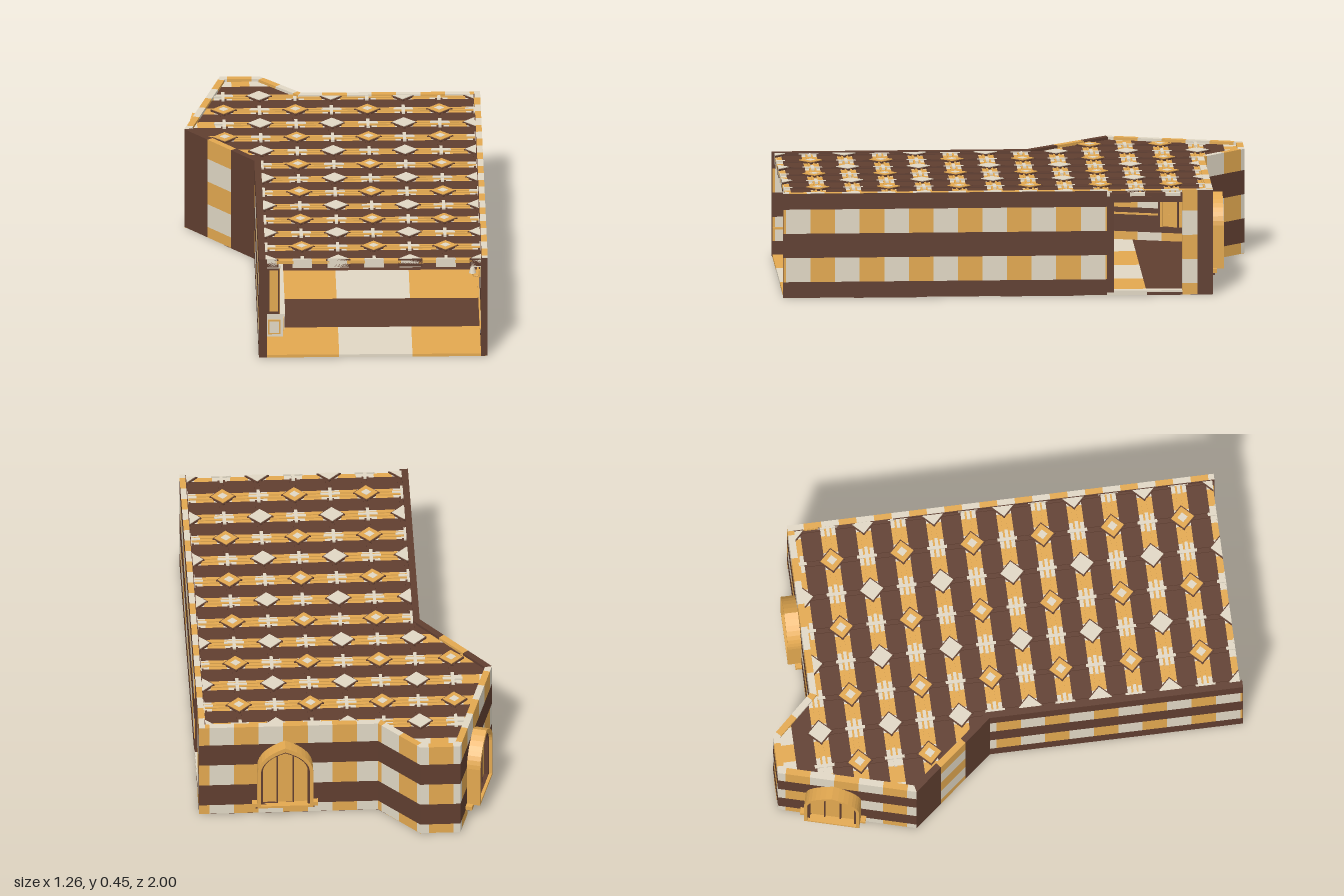
import * as THREE from 'three';
import { mergeGeometries } from 'three/addons/utils/BufferGeometryUtils.js';

const mats = {};
for (const [name, hex] of Object.entries({ brown: 0x603e30, gold: 0xe2a850, cream: 0xe0d7c4 })) {
  mats[name] = new THREE.MeshStandardMaterial({ color: hex });
  mats[name].name = name;
}

// Collects geometry by colour and returns a named group with one mesh per colour
function part(name, fill) {
  const bins = { brown: [], gold: [], cream: [] };
  const add = (color, geo) => bins[color].push(geo.index ? geo.toNonIndexed() : geo);
  const box = (color, x0, x1, y0, y1, z0, z1) => add(color,
    new THREE.BoxGeometry(x1 - x0, y1 - y0, z1 - z0).translate((x0 + x1) / 2, (y0 + y1) / 2, (z0 + z1) / 2));
  fill(add, box);
  const group = new THREE.Group();
  group.name = name;
  for (const color in bins) {
    if (!bins[color].length) continue;
    const mesh = new THREE.Mesh(mergeGeometries(bins[color]), mats[color]);
    mesh.name = name + ' ' + color;
    group.add(mesh);
  }
  return group;
}

// Splits a range into numbered intervals
function cells(min, max, size, phase) {
  const out = [];
  for (let k = Math.floor((min - phase) / size); phase + k * size < max - 1e-6; k++) {
    const a = Math.max(min, phase + k * size), b = Math.min(max, phase + (k + 1) * size);
    if (b - a > 1e-5) out.push([a, b, k]);
  }
  return out;
}
const even = (k) => k % 2 === 0;

// Convex pieces of the floor plan, as x,z points
const RIGHT = 0.628;
const PLAN = [
  [[-0.34, -0.82], [RIGHT, -0.82], [RIGHT, 1], [-0.34, 1]],
  [[-0.34, -0.08], [-0.63, -0.43], [-0.47, -1], [-0.34, -1]],
  [[-0.34, -1], [-0.3, -1], [-0.13, -0.82], [-0.34, -0.82]],
];
// Trims a polygon to a rectangle
function clip(poly, x0, x1, z0, z1) {
  for (const [axis, bound, sign] of [[0, x1, 1], [0, x0, -1], [1, z1, 1], [1, z0, -1]]) {
    const out = [];
    poly.forEach((p, i) => {
      const q = poly[(i + 1) % poly.length];
      const dp = sign * (bound - p[axis]), dq = sign * (bound - q[axis]);
      if (dp >= 0) out.push(p);
      if (dp * dq < 0) out.push([0, 1].map((c) => p[c] + (q[c] - p[c]) * dp / (dp - dq)));
    });
    poly = out;
  }
  return poly;
}
function plate(add, color, poly, y, h) {
  if (poly.length < 3) return;
  const shape = new THREE.Shape(poly.map(([x, z]) => new THREE.Vector2(x, -z)));
  add(color, new THREE.ExtrudeGeometry(shape, { depth: h, bevelEnabled: false }).rotateX(-Math.PI / 2).translate(0, y, 0));
}
// Flat tile: a rectangle trimmed to the plan
function tile(add, color, scale, x0, x1, z0, z1, y, h) {
  for (const piece of PLAN) plate(add, color, clip(piece.map(([x, z]) => [x * scale, z * scale]), x0, x1, z0, z1), y, h);
}

// Places a group so local x runs along the wall and local z points indoors
function along(group, a, b) {
  group.position.set(a[0], 0, a[1]);
  group.rotation.y = Math.atan2(a[1] - b[1], b[0] - a[0]);
  return group;
}
const T = 0.028, H = 0.45, Y0 = 0.002;

// Mitre slope at corner b of the path a, b, c
function mitre(a, b, c) {
  const [ux, uz, vx, vz] = [b[0] - a[0], b[1] - a[1], c[0] - b[0], c[1] - b[1]];
  return Math.tan(Math.atan2(ux * vz - uz * vx, ux * vx + uz * vz) / 2);
}

// Banded wall with mitred ends; upright walls have the bands turned vertical
function wall(name, a, b, { bandPhase = 0.047, cellPhase = 0, upright = 0, trim = true, prev, next }) {
  const len = Math.hypot(b[0] - a[0], b[1] - a[1]);
  const group = part(name, (add, box) => {
    const us = upright ? cells(0, len, upright, 0) : cells(0, len, 0.104, cellPhase);
    const vs = upright ? cells(Y0, H, 0.104, -0.054) : cells(Y0, H, 0.104, bandPhase);
    for (const [u0, u1, ku] of us) for (const [v0, v1, kv] of vs) {
      const [band, cell] = upright ? [ku, kv] : [kv, ku];
      box(even(band) ? 'brown' : even(cell) ? 'gold' : 'cream', u0, u1, v0, v1, 0, T);
    }
    if (!trim) return;
    box('brown', 0, len, 0.415, 0.425, T, T + 0.012);
    box('gold', 0, len, 0.121, 0.129, T, T + 0.006);
  });
  const start = prev ? mitre(prev, a, b) : 0, end = next ? mitre(a, b, next) : 0;
  for (const mesh of group.children) {
    const pos = mesh.geometry.attributes.position;
    for (let i = 0; i < pos.count; i++) {
      const x = pos.getX(i), z = pos.getZ(i);
      if (x < 1e-4) pos.setX(i, x + z * start);
      if (x > len - 1e-4) pos.setX(i, x - z * end);
    }
  }
  return along(group, a, b);
}

function arch(hw, y0, ys, yt) {
  const s = new THREE.Shape();
  s.moveTo(-hw, y0).lineTo(hw, y0).lineTo(hw, ys);
  s.quadraticCurveTo(hw * 0.95, ys + (yt - ys) * 0.65, 0, yt);
  s.quadraticCurveTo(-hw * 0.95, ys + (yt - ys) * 0.65, -hw, ys);
  return s;
}
const slab = (shape, z0, z1) =>
  new THREE.ExtrudeGeometry(shape, { depth: z1 - z0, bevelEnabled: false, curveSegments: 8 }).translate(0, 0, z0);

// Pointed window with three tall panes, seen from both sides
function archWindow(name, a, b, at) {
  const g = part(name, (add, box) => {
    const ring = (hw, yt, inner, innerTop) => {
      const s = arch(hw, 0.065, 0.25, yt);
      s.holes.push(arch(inner, 0.075, 0.25, innerTop));
      return s;
    };
    add('gold', slab(ring(0.118, 0.375, 0.104, 0.354), -0.058, 0.002));
    add('brown', slab(ring(0.104, 0.354, 0.095, 0.34), -0.045, 0.002));
    add('brown', slab(ring(0.118, 0.375, 0.11, 0.363), 0.002, T + 0.02));
    add('gold', slab(ring(0.11, 0.363, 0.099, 0.346), 0.002, T + 0.014));
    add('gold', slab(arch(0.1, 0.07, 0.25, 0.348), -0.025, T + 0.005));
    add('brown', slab(arch(0.099, 0.252, 0.253, 0.346), T + 0.005, T + 0.009));
    for (const x of [-0.034, 0.034]) {
      box('brown', x - 0.003, x + 0.003, 0.075, 0.31, -0.032, -0.025);
      box('brown', x - 0.003, x + 0.003, 0.075, 0.255, T + 0.005, T + 0.012);
    }
    box('gold', -0.14, 0.14, 0.05, 0.068, -0.028, 0.005);
    box('brown', -0.125, 0.125, 0.038, 0.05, -0.02, 0.005);
  });
  g.position.x = at;
  const holder = new THREE.Group();
  holder.name = name + ' mount';
  holder.add(g);
  return along(holder, a, b);
}

function sconce(x, y, z, turn) {
  const g = part('wallLamp', (add, box) => {
    box('gold', -0.008, 0.008, -0.02, 0.012, 0, 0.006);
    add('gold', new THREE.TorusGeometry(0.014, 0.003, 6, 10, Math.PI).rotateZ(Math.PI).rotateY(Math.PI / 2).translate(0, -0.004, 0.018));
    add('cream', new THREE.CylinderGeometry(0.008, 0.015, 0.026, 10).translate(0, 0.012, 0.032));
  });
  g.position.set(x, y, z);
  g.rotation.y = turn;
  return g;
}

export function createModel() {
  const model = new THREE.Group();
  model.name = 'hall';
  const P = [[-0.34, 0.998], [-0.34, -0.08], [-0.63, -0.43], [-0.47, -1], [-0.3, -1], [-0.13, -0.82], [RIGHT, -0.82], [RIGHT, -0.69]];
  const side = -0.034;
  const walls = [
    ['leftWall', { bandPhase: side, cellPhase: 0.998 - 0.052 }],
    ['bayFrontWall', { upright: 0.1517, trim: false }],
    ['bayWindowWall', { cellPhase: 0.04 }],
    ['bayBackWall', { cellPhase: 0.03 }],
    ['bayCornerWall', { cellPhase: 0.02 }],
    ['backWall', { cellPhase: 0.13 - 0.04 }],
    ['rightRearPost', { upright: 0.065, trim: false }],
  ];
  walls.forEach(([name, o], i) => model.add(wall(name, P[i], P[i + 1], { ...o, prev: P[i - 1], next: P[i + 2] })));
  model.add(
    wall('rightWall', [RIGHT, -0.37], [RIGHT, 0.998], { bandPhase: side, cellPhase: 0.37 - 0.052 }),
    archWindow('backWindow', P[5], P[6], 0.395),
    archWindow('bayWindow', P[2], P[3], 0.355),
  );

  // Plain wall ends, capping strip and side doorway
  model.add(part('wallTrim', (add, box) => {
    box('brown', -0.34, -0.305, Y0, H, 0.998, 1.0);
    box('brown', 0.6, RIGHT, Y0, H, 0.998, 1.0);
    for (const [a, b, k] of cells(-0.82, 1, 0.075, 0)) box(even(k) ? 'gold' : 'cream', 0.603, RIGHT, H, H + 0.002, a, b);
    box('brown', 0.583, 0.626, 0.4, 0.425, -0.69, -0.37);
    box('brown', 0.583, 0.625, 0.012, 0.42, -0.4, -0.37);
    box('cream', 0.588, 0.626, 0.01, 0.02, -0.69, -0.4);
  }));

  // Floor in broad tiles
  model.add(part('floor', (add) => {
    for (const [z0, z1, kz] of cells(-1, 1, 0.31, 0.39)) for (const [x0, x1, kx] of cells(-0.64, 0.64, 0.31, 0))
      tile(add, even(kz) ? 'brown' : even(kx) ? 'cream' : 'gold', 0.998, x0, x1, z0, z1, 0, 0.012);
  }));

  // Coffered ceiling: banded panels, ribs, diamonds and crosses
  const DX = 0.152, DZ = 0.1495;
  const gx = (i) => -0.46 + DX * i, gz = (j) => -0.8 + DZ * j;
  model.add(part('ceilingPanels', (add) => {
    for (let j = -2; j <= 12; j++) {
      tile(add, 'brown', 0.99, -0.7, 0.7, gz(j) + 0.032, gz(j) + 0.1175, 0.424, 0.014);
      for (const [x0, x1, k] of cells(-0.64, 0.64, 0.076, -0.042))
        tile(add, even(k) ? 'cream' : 'gold', 0.99, x0, x1, gz(j) - 0.032, gz(j) + 0.032, 0.424, 0.014);
    }
  }));
  const inPlan = (x, z) => (x > -0.32 && x < 0.62 && z > -0.81 && z < 1) ||
    (x <= -0.32 && z > -0.97 && x > -0.6 + Math.max((-0.43 - z) * 0.28, (z + 0.43) * 0.83));
  model.add(part('ceilingRibs', (add) => {
    for (let j = 0; j <= 12; j++) for (let i = -1; i <= 7; i++) {
      const x = gx(i), z = gz(j);
      if (!inPlan(x, z)) continue;
      // Ribs and ornaments stop at the inner wall faces
      const x0 = z > -0.1 ? -0.312 : -0.7, z0 = x > -0.2 ? -0.792 : -0.97;
      const piece = (color, poly, y, h) => plate(add, color, clip(poly, x0, 0.6, z0, 0.99), y, h);
      const bar = (color, a, b, c, d, y, h) => piece(color, [[a, c], [b, c], [b, d], [a, d]], y, h);
      const lozenge = (color, r, y, h) => piece(color, [[x - r, z], [x, z - r], [x + r, z], [x, z + r]], y, h);
      if (inPlan(gx(i + 1), z) && j < 12) for (const o of [-0.011, 0.011])
        bar('gold', x, x + DX, z + o - 0.004, z + o + 0.004, 0.41, 0.033);
      if (inPlan(x, gz(j + 1))) for (const o of [-0.011, 0.011])
        bar('brown', x + o - 0.004, x + o + 0.004, z + 0.032, z + 0.1175, 0.409, 0.035);
      if (!even(i + j)) {
        lozenge('brown', 0.056, 0.409, 0.036);
        lozenge(even(j) ? 'cream' : 'gold', 0.049, 0.406, 0.042);
        if (!even(j)) lozenge('cream', 0.022, 0.405, 0.044);
      } else {
        bar('cream', x - 0.042, x + 0.042, z - 0.007, z + 0.007, 0.406, 0.04);
        bar('cream', x - 0.007, x + 0.007, z - 0.042, z + 0.042, 0.407, 0.0385);
      }
    }
  }));

  // Row of cabinets with tall panelled shelves along the left wall
  model.add(part('bookcase', (add, box) => {
    for (let n = 0; n < 5; n++) {
      const z = 0.8 - n * 0.15, a = z - 0.145;
      box('cream', -0.312, -0.235, 0.012, 0.105, a, z);
      box('gold', -0.236, -0.231, 0.03, 0.09, a + 0.02, z - 0.02);
      box('cream', -0.232, -0.228, 0.035, 0.085, a + 0.025, z - 0.025);
      box('cream', -0.312, -0.225, 0.105, 0.116, a - 0.005, z);
      box('brown', -0.312, -0.29, 0.116, 0.325, a, z);
      for (const p of [a, z - 0.012]) box('brown', -0.312, -0.25, 0.116, 0.325, p, p + 0.012);
      for (const p of [a, z - 0.012]) box('gold', -0.25, -0.246, 0.116, 0.325, p, p + 0.012);
      for (const y of [0.18, 0.25]) box('gold', -0.312, -0.255, y, y + 0.006, a, z);
      box('cream', -0.312, -0.243, 0.325, 0.338, a - 0.005, z);
    }
    box('gold', -0.292, -0.255, 0.13, 0.315, 0.8, 0.804);
    box('gold', -0.298, -0.245, 0.025, 0.09, 0.8, 0.804);
    box('cream', -0.292, -0.251, 0.031, 0.084, 0.804, 0.807);
  }));

  // Framed picture on the back wall
  model.add(part('picture', (add, box) => {
    box('brown', -0.077, 0.037, 0.173, 0.342, -0.795, -0.782);
    box('gold', -0.074, 0.034, 0.176, 0.339, -0.79, -0.778);
    box('cream', -0.068, 0.028, 0.182, 0.333, -0.78, -0.774);
  }));

  // Slatted heater beside the back window
  model.add(part('radiator', (add, box) => {
    for (let n = 0; n < 16; n++) {
      const x = 0.405 + n * 0.0105;
      box(['brown', 'brown', 'gold', 'brown', 'cream'][n % 5], x - 0.004, x + 0.004, 0.014, 0.108, -0.785, -0.74);
    }
    box('brown', 0.4, 0.57, 0.016, 0.1, -0.79, -0.765);
  }));

  // Chandelier hung from a ceiling rose, with a ring of curved arms and candles
  const chandelier = part('chandelier', (add) => {
    const profile = [[0, 0.325], [0.01, 0.333], [0.016, 0.35], [0.006, 0.362], [0.012, 0.378], [0.003, 0.39], [0.003, 0.41], [0.06, 0.418], [0.075, 0.426]];
    add('brown', new THREE.LatheGeometry(profile.map(([r, y]) => new THREE.Vector2(r, y)), 12));
    for (let n = 0; n < 8; n++) {
      const turn = n * Math.PI / 4;
      const arm = new THREE.CatmullRomCurve3([[0.008, 0.358], [0.03, 0.345], [0.055, 0.355], [0.064, 0.375]]
        .map(([x, y]) => new THREE.Vector3(x, y, 0)));
      add(even(n) ? 'brown' : 'gold', new THREE.TubeGeometry(arm, 10, 0.003, 5).rotateY(turn));
      add('brown', new THREE.CylinderGeometry(0.009, 0.004, 0.006, 8).translate(0.064, 0.377, 0).rotateY(turn));
      add('gold', new THREE.CylinderGeometry(0.004, 0.004, 0.022, 6).translate(0.064, 0.39, 0).rotateY(turn));
    }
  });
  chandelier.position.set(0.13, 0, 0.1);
  model.add(chandelier);

  // Wall lamps
  model.add(sconce(0.49, 0.28, -0.792, 0), sconce(-0.235, 0.28, -0.89, -0.81));
  for (const z of [-0.2, 0.3, 0.75]) model.add(sconce(0.6, 0.28, z, -Math.PI / 2));
  return model;
}
